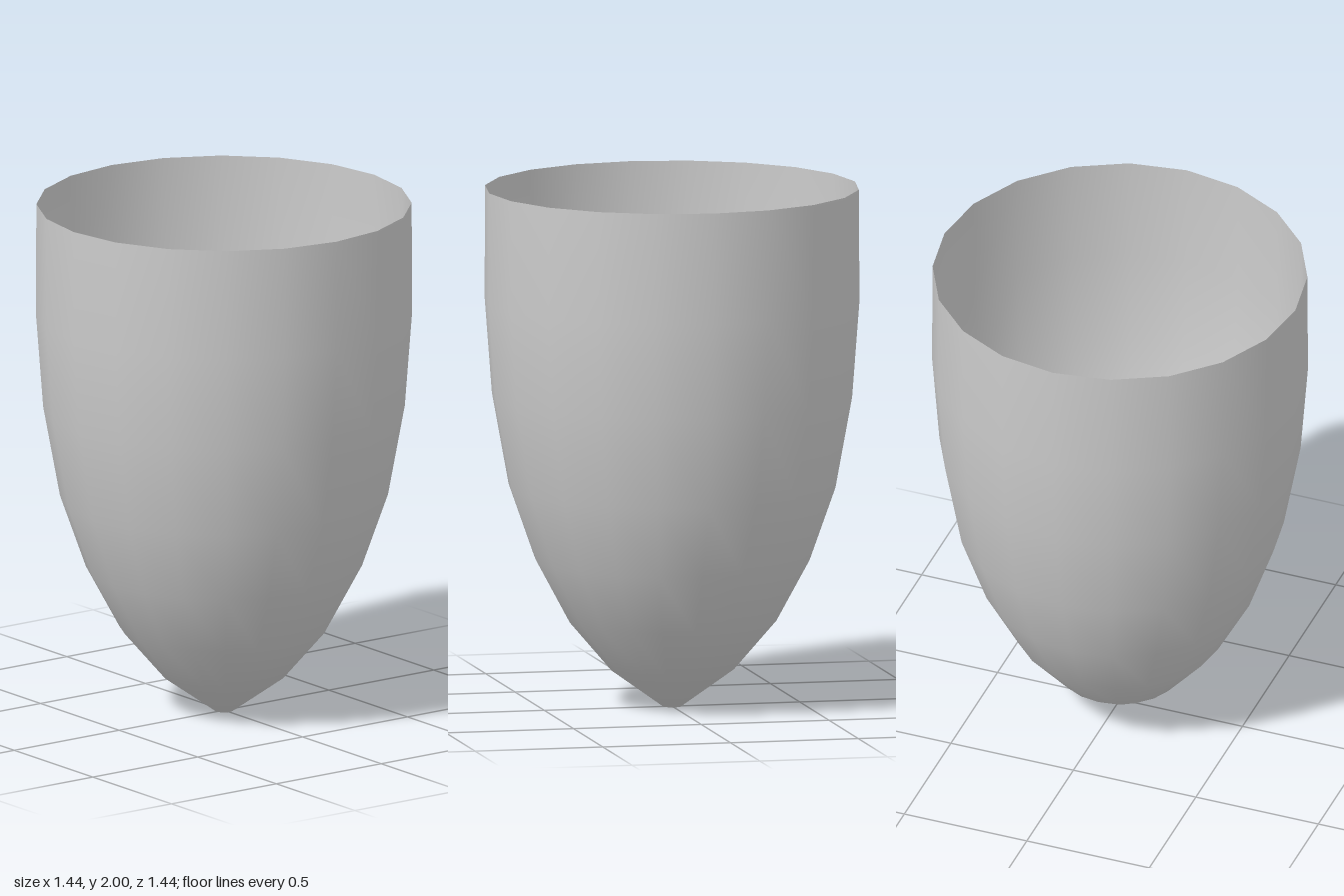
import * as THREE from 'three';

export function createModel() {
  const group = new THREE.Group();
  group.name = 'cup';

  // Thin open shell: small hole at the bottom, wide open rim at the top
  const profile = [
    [0.035, 0], [0.237, 0.145], [0.4, 0.335], [0.527, 0.57],
    [0.626, 0.85], [0.69, 1.2], [0.718, 1.57], [0.716, 2],
  ].map(([r, y]) => new THREE.Vector2(r, y));

  const shell = new THREE.Mesh(
    new THREE.LatheGeometry(profile, 20),
    new THREE.MeshStandardMaterial({ color: 0xcccccc, side: THREE.DoubleSide })
  );
  shell.name = 'shell';
  group.add(shell);
  return group;
}
